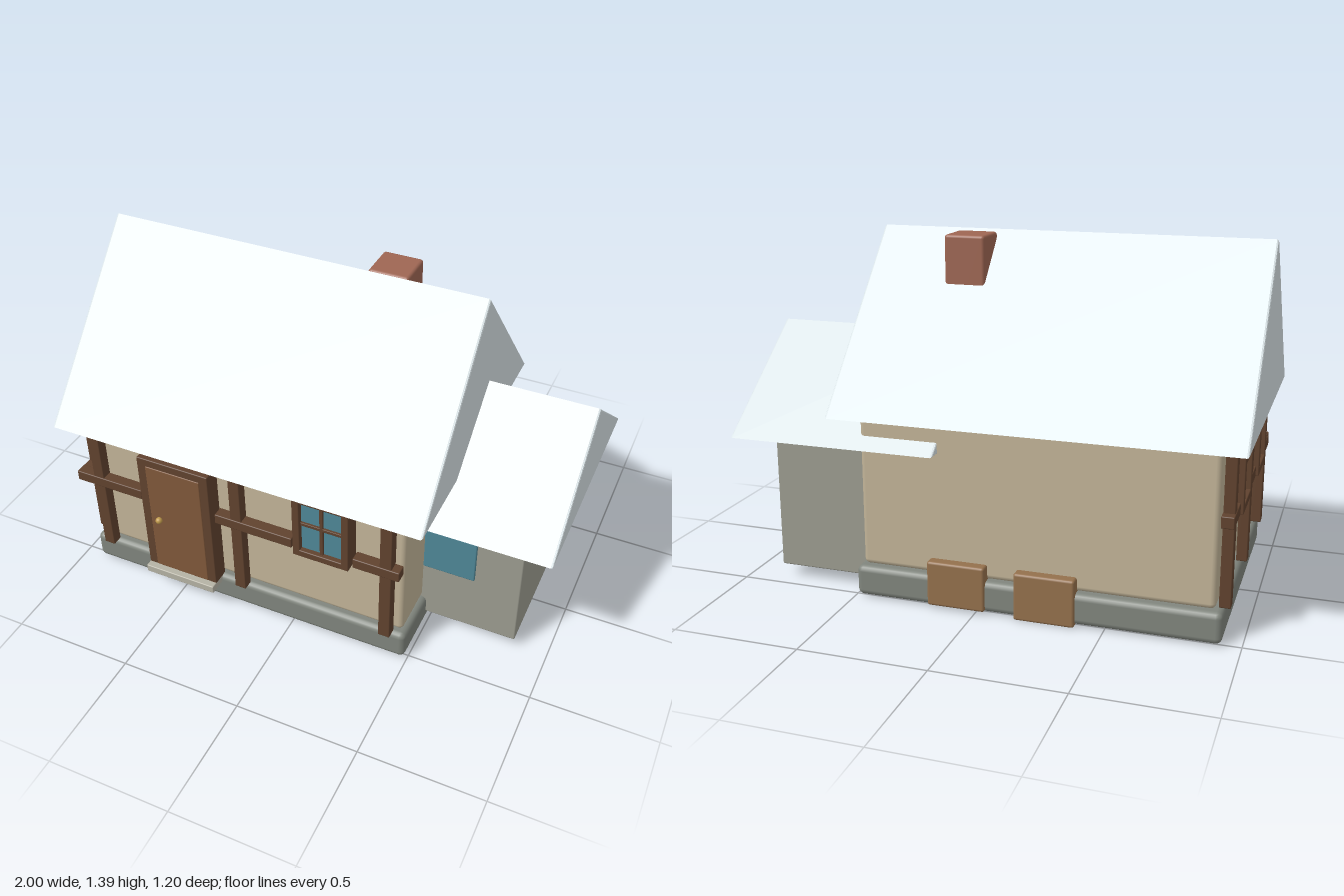
import * as THREE from 'three';
import { RoundedBoxGeometry } from 'three/addons/geometries/RoundedBoxGeometry.js';

const mat = (color) => new THREE.MeshStandardMaterial({ color });
const M = {
  roof: mat(0xd8e2e5), wall: mat(0xc2b498), stone: mat(0x80857d), annex: mat(0x9c9c90),
  timber: mat(0x60422e), door: mat(0x80583a), glass: mat(0x4f8797), brick: mat(0x9e6653),
  hatch: mat(0x94704c), step: mat(0xb5b2a4), brass: mat(0xc09a4c),
};

// Softly rounded box given by its extents on each axis
function block(parent, name, material, [x0, x1], [y0, y1], [z0, z1], r = 0.004) {
  const geo = new RoundedBoxGeometry(x1 - x0, y1 - y0, z1 - z0, 2, r);
  const mesh = new THREE.Mesh(geo, material);
  mesh.name = name;
  mesh.position.set((x0 + x1) / 2, (y0 + y1) / 2, (z0 + z1) / 2);
  parent.add(mesh);
  return mesh;
}

// Solid gable roof with its ridge along x
function gable(parent, name, [x0, x1], [eave, ridge], [z0, z1]) {
  const b = 0.008, half = (z1 - z0) / 2;
  const shape = new THREE.Shape();
  shape.moveTo(-half, eave);
  shape.lineTo(half, eave);
  shape.lineTo(0, ridge);
  shape.closePath();
  const geo = new THREE.ExtrudeGeometry(shape, {
    depth: x1 - x0 - 2 * b, bevelThickness: b, bevelSize: b, bevelOffset: -b, bevelSegments: 2,
  });
  geo.rotateY(Math.PI / 2);
  const mesh = new THREE.Mesh(geo, M.roof);
  mesh.name = name;
  mesh.position.set(x0 + b, 0, (z0 + z1) / 2);
  parent.add(mesh);
}

// Framed window facing +z, with its back on z = 0
function framedWindow(name, w, h, depth) {
  const g = new THREE.Group();
  g.name = name;
  const t = 0.03, x = w / 2, y = h / 2;
  for (const s of [-1, 1]) {
    const a = s * (x - t / 2), c = s * (y - t / 2);
    block(g, 'windowJamb', M.timber, [a - t / 2, a + t / 2], [-y, y], [0, depth]);
    block(g, 'windowRail', M.timber, [-x, x], [c - t / 2, c + t / 2], [0, depth]);
  }
  block(g, 'windowPane', M.glass, [-x + t / 2, x - t / 2], [-y + t / 2, y - t / 2], [0, depth - 0.022], 0.002);
  block(g, 'mullion', M.timber, [-0.007, 0.007], [-y + t, y - t], [0.01, depth - 0.012], 0.002);
  block(g, 'transom', M.timber, [-x + t, x - t], [0.002, 0.016], [0.01, depth - 0.012], 0.002);
  return g;
}

export function createModel() {
  const house = new THREE.Group();
  house.name = 'cottage';

  // Main house
  block(house, 'foundation', M.stone, [-0.93, 0.49], [0.008, 0.13], [-0.53, 0.53], 0.024);
  block(house, 'walls', M.wall, [-0.9, 0.47], [0.13, 0.736], [-0.5, 0.5], 0.02);
  gable(house, 'mainRoof', [-1, 0.565], [0.735, 1.39], [-0.597, 0.597]);
  block(house, 'chimney', M.brick, [0.078, 0.24], [0.95, 1.382], [-0.18, -0.02], 0.012);

  // Side annex
  block(house, 'annexWalls', M.annex, [0.285, 0.867], [0.05, 0.605], [-0.434, 0.293], 0.006);
  gable(house, 'annexRoof', [0.155, 0.997], [0.608, 0.99], [-0.555, 0.413]);
  block(house, 'annexWindow', M.glass, [0.48, 0.69], [0.333, 0.525], [0.311, 0.326], 0.005);

  // Timber frame on the front
  for (const x of [-0.848, -0.218, 0.413])
    block(house, 'frontPost', M.timber, [x - 0.024, x + 0.024], [0.13, 0.736], [0.51, 0.556]);
  for (const span of [[-0.95, -0.645], [-0.31, 0.025], [0.28, 0.47]])
    block(house, 'frontBeam', M.timber, span, [0.452, 0.497], [0.513, 0.56]);

  // Timber frame on the right-hand gable end (the -x wall)
  for (const z of [-0.45, 0, 0.45])
    block(house, 'sidePost', M.timber, [-0.95, -0.907], [0.13, 0.736], [z - 0.024, z + 0.024]);
  for (const span of [[-0.51, -0.35], [-0.09, 0.09], [0.35, 0.54]])
    block(house, 'sideBeam', M.timber, [-0.953, -0.905], [0.445, 0.49], span);

  // Windows
  const front = framedWindow('frontWindow', 0.232, 0.296, 0.075);
  front.position.set(0.154, 0.587, 0.5);
  house.add(front);
  for (const z of [-0.22, 0.23]) {
    const side = framedWindow('sideWindow', 0.232, 0.296, 0.062);
    side.rotation.y = -Math.PI / 2;
    side.position.set(-0.9, 0.587, z);
    house.add(side);
  }

  // Front door
  const door = new THREE.Group();
  door.name = 'frontDoor';
  house.add(door);
  block(door, 'doorJamb', M.timber, [-0.635, -0.595], [0.125, 0.69], [0.5, 0.575]);
  block(door, 'doorJamb', M.timber, [-0.36, -0.32], [0.125, 0.69], [0.5, 0.575]);
  block(door, 'doorLintel', M.timber, [-0.635, -0.32], [0.652, 0.69], [0.5, 0.575]);
  block(door, 'doorPanel', M.door, [-0.598, -0.357], [0.13, 0.656], [0.5, 0.578]);
  block(door, 'doorStep', M.step, [-0.635, -0.32], [0.096, 0.13], [0.51, 0.604]);
  const knob = new THREE.Mesh(new THREE.SphereGeometry(0.014, 16, 12), M.brass);
  knob.name = 'doorKnob';
  knob.position.set(-0.556, 0.395, 0.587);
  door.add(knob);

  // Hatches at the foot of the back wall
  block(house, 'backHatch', M.hatch, [-0.04, 0.19], [0.012, 0.19], [-0.542, -0.34], 0.01);
  block(house, 'backHatch', M.hatch, [-0.39, -0.155], [0, 0.187], [-0.542, -0.34], 0.01);

  return house;
}
